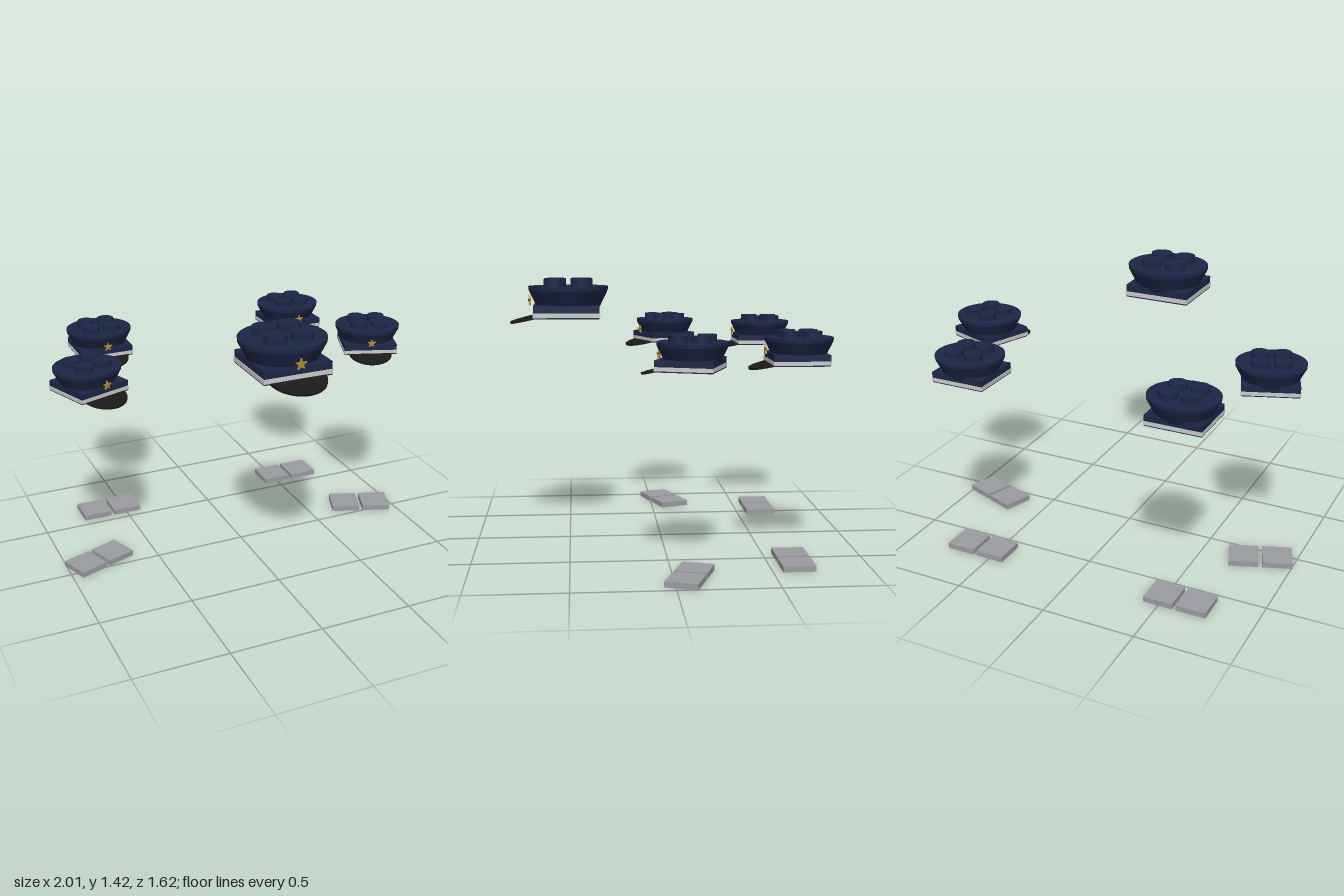
import * as THREE from 'three';

const paint = (color) => new THREE.MeshStandardMaterial({ color });

function add(parent, name, geometry, material, x = 0, y = 0, z = 0) {
  const mesh = new THREE.Mesh(geometry, material);
  mesh.name = name;
  mesh.position.set(x, y, z);
  parent.add(mesh);
  return mesh;
}

// Five-pointed badge outline
function starShape(outer, inner) {
  const shape = new THREE.Shape();
  for (let i = 0; i < 10; i++) {
    const r = i % 2 ? inner : outer;
    const a = Math.PI / 2 + (i * Math.PI) / 5;
    if (i) shape.lineTo(r * Math.cos(a), r * Math.sin(a));
    else shape.moveTo(r * Math.cos(a), r * Math.sin(a));
  }
  shape.closePath();
  return shape;
}

// Peaked cap with its base on y = 0, facing +z
function createCap(name, mats) {
  const cap = new THREE.Group();
  cap.name = name;

  // Square head band with a pale stripe around it
  add(cap, 'headBand', new THREE.BoxGeometry(0.364, 0.07, 0.346), mats.navy, 0, 0.035, 0);
  add(cap, 'bandStripe', new THREE.BoxGeometry(0.37, 0.024, 0.352), mats.silver, 0, 0.019, 0);

  // Flared round crown
  const flare = new THREE.CylinderGeometry(0.222, 0.168, 0.105, 40);
  const rim = new THREE.CylinderGeometry(0.224, 0.222, 0.022, 40);
  add(cap, 'crownFlare', flare, mats.navy, 0, 0.0925, -0.01).scale.z = 0.95;
  add(cap, 'crownTop', rim, mats.navy, 0, 0.156, -0.01).scale.z = 0.95;

  // Four round studs on top
  const stud = new THREE.CylinderGeometry(0.058, 0.058, 0.05, 28);
  for (const x of [-0.07, 0.07]) {
    for (const z of [-0.08, 0.06]) add(cap, 'stud', stud, mats.navy, x, 0.182, z);
  }

  // Visor sloping down at the front
  const visor = add(cap, 'visor', new THREE.CylinderGeometry(0.15, 0.15, 0.012, 40), mats.black, 0, 0.007, 0.155);
  visor.rotation.x = 0.23;

  // Star badge
  const star = new THREE.ExtrudeGeometry(starShape(0.032, 0.013), { depth: 0.012, bevelEnabled: false });
  add(cap, 'starBadge', star, mats.gold, 0, 0.09, 0.191);
  return cap;
}

// Two flat floor plates side by side
function createPlates(mats) {
  const plates = new THREE.Group();
  plates.name = 'floorPlates';
  const geometry = new THREE.BoxGeometry(0.16, 0.03, 0.166);
  for (const side of [-1, 1]) add(plates, 'plate', geometry, mats.plate, side * 0.09, 0.015, 0);
  return plates;
}

export function createModel() {
  const model = new THREE.Group();
  model.name = 'caps';
  const mats = {
    navy: paint(0x1c2747),
    silver: paint(0xcccccc),
    black: paint(0x1a1a1a),
    gold: paint(0xb08a2a),
    plate: paint(0x9a9ca0),
  };

  // Large cap at the front
  const leader = createCap('frontCap', mats);
  leader.position.set(0, 1.212, 0.505);
  model.add(leader);

  // Mirrored smaller caps, each above a pair of plates
  const spots = [
    { name: 'backCap', x: 0.587, z: -0.632, turn: 0 },
    { name: 'middleCap', x: 0.818, z: -0.081, turn: 0.35 },
  ];
  for (const side of [-1, 1]) {
    for (const { name, x, z, turn } of spots) {
      const cap = createCap(name, mats);
      cap.scale.setScalar(0.8);
      cap.position.set(side * x, 1.015, z);
      cap.rotation.y = -side * turn;
      const plates = createPlates(mats);
      plates.position.set(side * x, 0, z);
      plates.rotation.y = -side * turn;
      model.add(cap, plates);
    }
  }
  return model;
}
